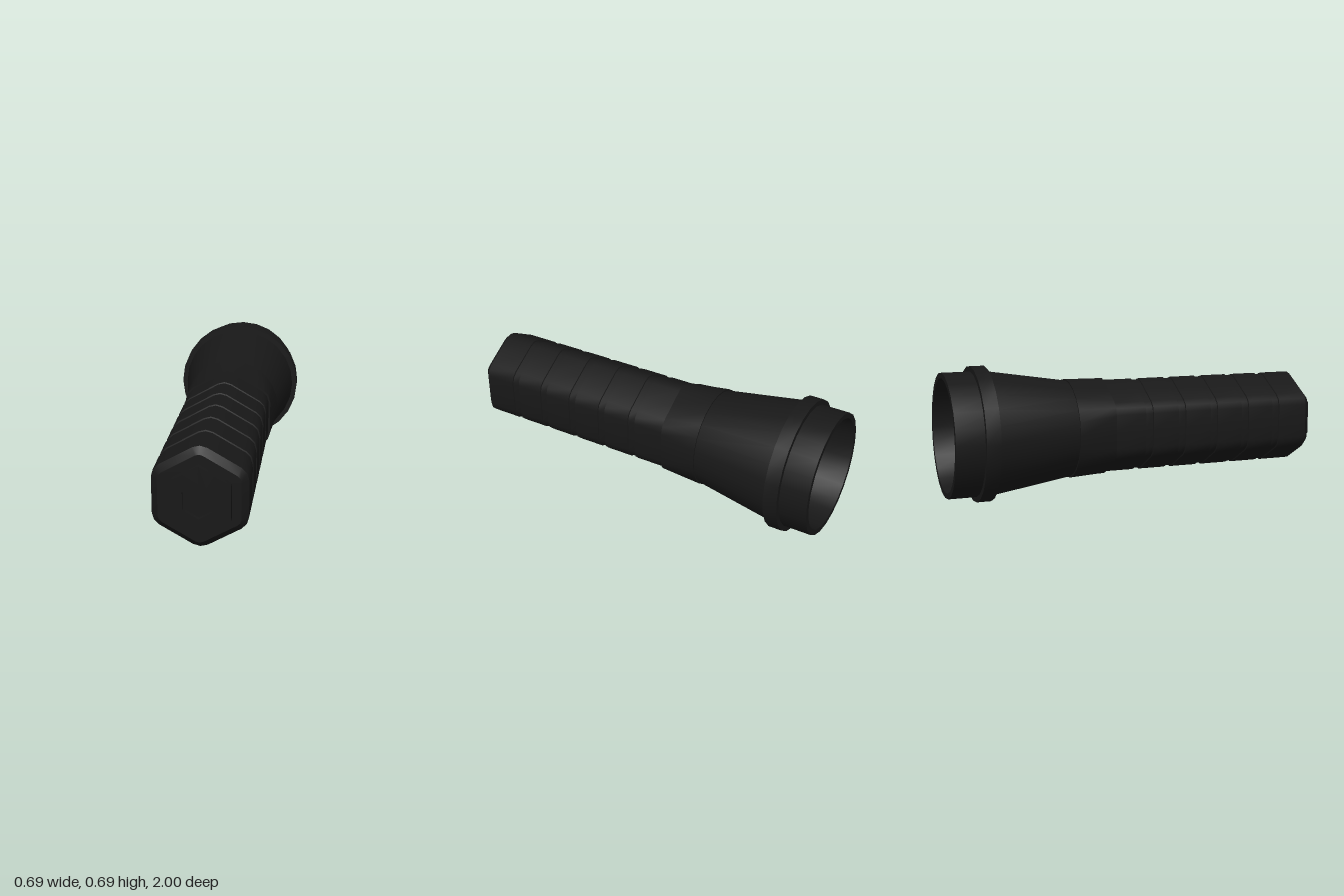
import * as THREE from 'three';
import { toCreasedNormals } from 'three/addons/utils/BufferGeometryUtils.js';

const AXIS_Y = 0.346;
const SIDES = 24;
const material = new THREE.MeshStandardMaterial({ color: 0x181818 });

// Ring of 24 points on a circle, starting at the top.
function circle(z, r) {
  const points = [];
  for (let i = 0; i < SIDES; i++) {
    const a = (i / SIDES) * Math.PI * 2;
    points.push(new THREE.Vector3(Math.sin(a) * r, Math.cos(a) * r, z));
  }
  return { points, closed: r === 0 };
}

// Ring of 24 points on a hexagon with a corner at the top:
// each corner has three rounding points, and each flat has a midpoint.
function hexagon(z, apothem, trim = 0) {
  const points = [];
  const R = apothem / Math.cos(Math.PI / 6);
  const place = (x, y, a) => points.push(new THREE.Vector3(
    x * Math.cos(a) + y * Math.sin(a), y * Math.cos(a) - x * Math.sin(a), z));
  const t = Math.max(trim, R * 0.005);
  for (let k = 0; k < 6; k++) {
    const a = (k * Math.PI) / 3;
    place(0, R - 0.268 * t, a);
    place(t * 0.866, R - t * 0.5, a);
    place(R * 0.433, R * 0.75, a);
    place(-t * 0.866, R - t * 0.5, a + Math.PI / 3);
  }
  return { points, closed: apothem === 0 };
}

// Skin a list of rings, from the tail (+z) to the head (-z).
function loft(name, rings) {
  const pos = [];
  const tri = (...v) => v.forEach((p) => pos.push(p.x, p.y, p.z));
  for (let i = 0; i < rings.length - 1; i++) {
    const p = rings[i], q = rings[i + 1];
    for (let j = 0; j < SIDES; j++) {
      const n = (j + 1) % SIDES;
      if (!p.closed) tri(p.points[j], p.points[n], q.points[j]);
      if (!q.closed) tri(p.points[n], q.points[n], q.points[j]);
    }
  }
  const geometry = new THREE.BufferGeometry();
  geometry.setAttribute('position', new THREE.Float32BufferAttribute(pos, 3));
  const mesh = new THREE.Mesh(toCreasedNormals(geometry, 0.6), material);
  mesh.name = name;
  return mesh;
}

export function createModel() {
  const group = new THREE.Group();
  group.name = 'flashlight';

  // Tail button with a recessed centre
  group.add(loft('tailButton', [
    hexagon(0.98, 0), hexagon(0.98, 0.073), hexagon(1, 0.073),
    hexagon(1, 0.147), hexagon(0.97, 0.147),
  ]));

  // Hexagonal grip with a chamfered tail and five shallow grooves
  const grip = [hexagon(0.97, 0.147), hexagon(0.97, 0.19, 0.02), hexagon(0.94, 0.222, 0.04)];
  for (let i = 0; i < 5; i++) {
    const z = 0.757 - i * 0.183;
    grip.push(
      hexagon(z + 0.021, 0.222, 0.04), hexagon(z + 0.019, 0.216, 0.038),
      hexagon(z - 0.019, 0.216, 0.038), hexagon(z - 0.021, 0.222, 0.04));
  }
  grip.push(hexagon(-0.16, 0.222, 0.04));
  group.add(loft('grip', grip));

  // Collar that turns the hexagon into a circle
  group.add(loft('collar', [
    hexagon(-0.16, 0.222, 0.04), hexagon(-0.16, 0.232, 0.048),
    circle(-0.36, 0.258), circle(-0.36, 0.251),
  ]));

  // Flared head, front rim and hollow bore
  group.add(loft('head', [
    circle(-0.36, 0.251), circle(-0.785, 0.318), circle(-1, 0.318),
    circle(-1, 0.29), circle(-0.8, 0.27),
  ]));

  // Raised band around the head
  group.add(loft('headBand', [
    circle(-0.785, 0.31), circle(-0.785, 0.345),
    circle(-0.857, 0.345), circle(-0.857, 0.31),
  ]));

  // Lens at the bottom of the bore
  group.add(loft('lens', [circle(-0.8, 0.27), circle(-0.8, 0)]));

  group.children.forEach((mesh) => { mesh.position.y = AXIS_Y; });
  return group;
}
